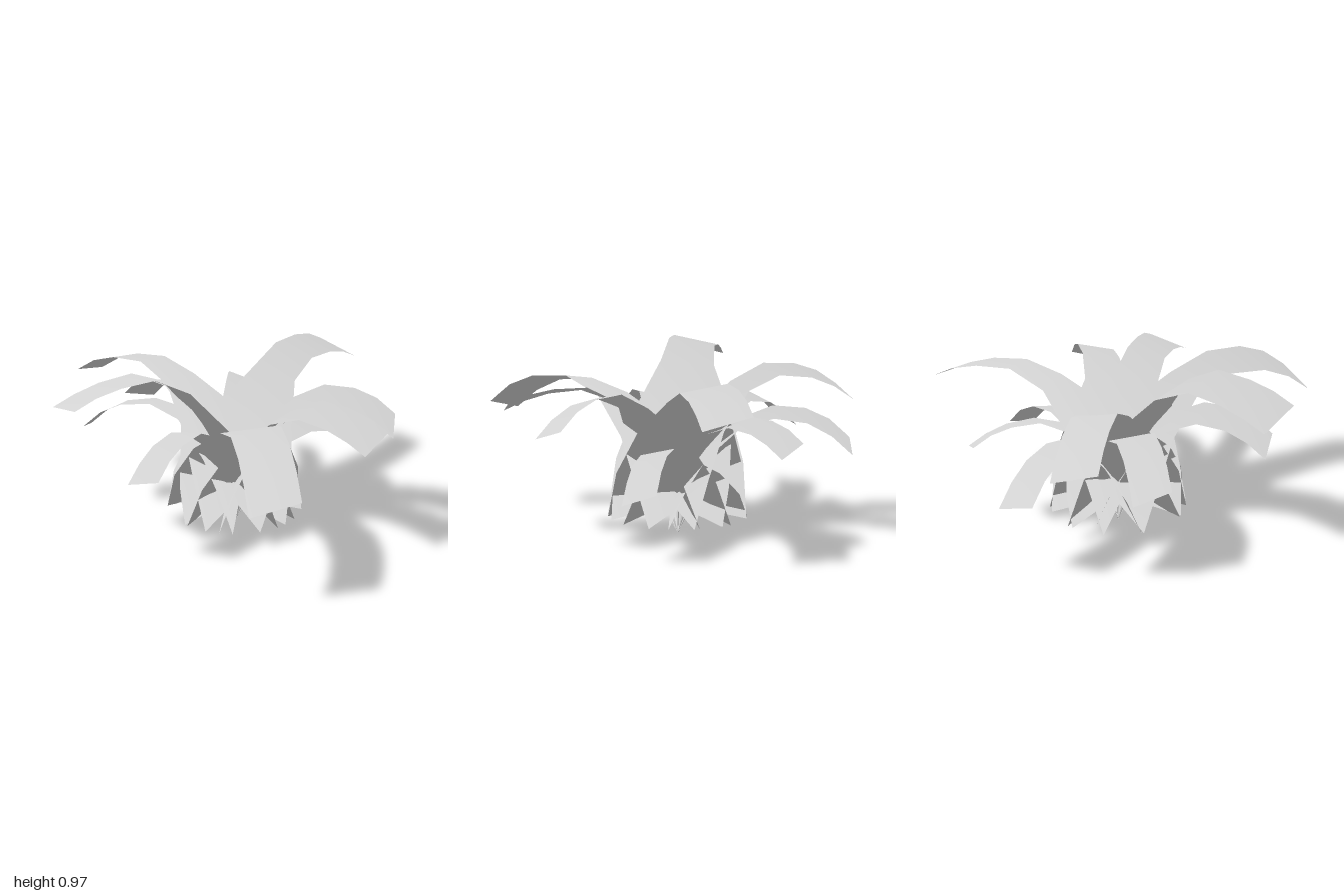
import * as THREE from 'three';

const CX = 0.06, CZ = -0.13; // where all leaves meet

// tip x, tip z, leaf width, highest point, tip height
const LEAVES = [
  [-0.095, 0.98, 0.25, 0.785, 0.60],
  [0.565, 0.60, 0.21, 0.775, 0.69],
  [0.82, 0.23, 0.20, 0.765, 0.61],
  [0.815, -0.245, 0.17, 0.505, 0.33],
  [0.86, -0.705, 0.24, 0.835, 0.73],
  [0.345, -0.845, 0.16, 0.635, 0.53],
  [-0.255, -0.965, 0.20, 0.645, 0.47],
  [-0.565, -0.835, 0.23, 0.845, 0.71],
  [-0.67, -0.46, 0.19, 0.685, 0.53],
  [-0.90, 0.12, 0.25, 0.95, 0.87],
  [-0.57, 0.365, 0.19, 0.675, 0.53],
];
const COLUMNS = [-1, -0.25, 0, 0.25, 1];

// Arching strip: a broad upright foot that narrows, leans out and droops
function leafGeometry(tipX, tipZ, width, peak, tip) {
  const reach = Math.hypot(tipX - CX, tipZ - CZ);
  const dx = (tipX - CX) / reach, dz = (tipZ - CZ) / reach;
  const rise = f => 0.1 + f * (peak - 0.1);
  const half = width / 2;
  // distance out, height, half width, sideways roll
  const rows = [
    [-0.04, 0.1, 0.363, 0],
    [0.05, rise(0.33), 0.335, 0],
    [0.17, rise(0.63), 0.25, 0],
    [0.36, rise(0.89), half * 1.15, 0.01],
    [0.55, peak, half, 0.02],
    [0.74, peak - 0.1 * (peak - tip), half, 0.025],
    [0.88, peak - 0.45 * (peak - tip), half, 0.03],
    [1, tip, half, 0.03],
  ];
  const pos = [], index = [], n = COLUMNS.length;
  rows.forEach(([out, y, w, roll], i) => {
    COLUMNS.forEach((u, j) => {
      const notch = i === 0 ? 0.065 * (1 - Math.abs(u)) : 0; // foot rises to the middle
      const r = out * reach;
      pos.push(CX + dx * r + dz * u * w, y + notch + roll * u, CZ + dz * r - dx * u * w);
      if (i && j) {
        const a = (i - 1) * n + j - 1, b = a + 1, c = a + n, d = c + 1;
        index.push(a, b, c, b, d, c);
      }
    });
  });
  return build(pos, index, 0.25, 1);
}

// Thin blade widening upward from the bottom point
function stemGeometry(angle) {
  const c = Math.cos(angle), s = Math.sin(angle), r = 0.08, w = 0.01;
  return build([
    CX, 0, CZ,
    CX + c * r - s * w, 0.16, CZ + s * r + c * w,
    CX + c * r + s * w, 0.16, CZ + s * r - c * w,
  ], [0, 1, 2], 10, 0.4);
}

// Open sheet; soft foliage normals point up and fan out from the centre
function build(pos, index, spread, up) {
  const g = new THREE.BufferGeometry();
  const normals = [], n = new THREE.Vector3();
  for (let i = 0; i < pos.length; i += 3) {
    n.set((pos[i] - CX) * spread, up, (pos[i + 2] - CZ) * spread).normalize();
    normals.push(n.x, n.y, n.z);
  }
  g.setAttribute('position', new THREE.Float32BufferAttribute(pos, 3));
  g.setAttribute('normal', new THREE.Float32BufferAttribute(normals, 3));
  g.setIndex(index);
  return g;
}

export function createModel() {
  const group = new THREE.Group();
  group.name = 'plant';
  const grey = new THREE.MeshStandardMaterial({ color: 0xd4d4d4, side: THREE.DoubleSide });
  grey.name = 'light grey';
  const add = (geometry, name) => {
    const mesh = new THREE.Mesh(geometry, grey);
    mesh.name = name;
    group.add(mesh);
  };

  LEAVES.forEach((leaf, i) => {
    add(leafGeometry(...leaf), `leaf${i + 1}`);
    add(stemGeometry(Math.atan2(leaf[1] - CZ, leaf[0] - CX)), `stem${i + 1}`);
  });
  return group;
}
